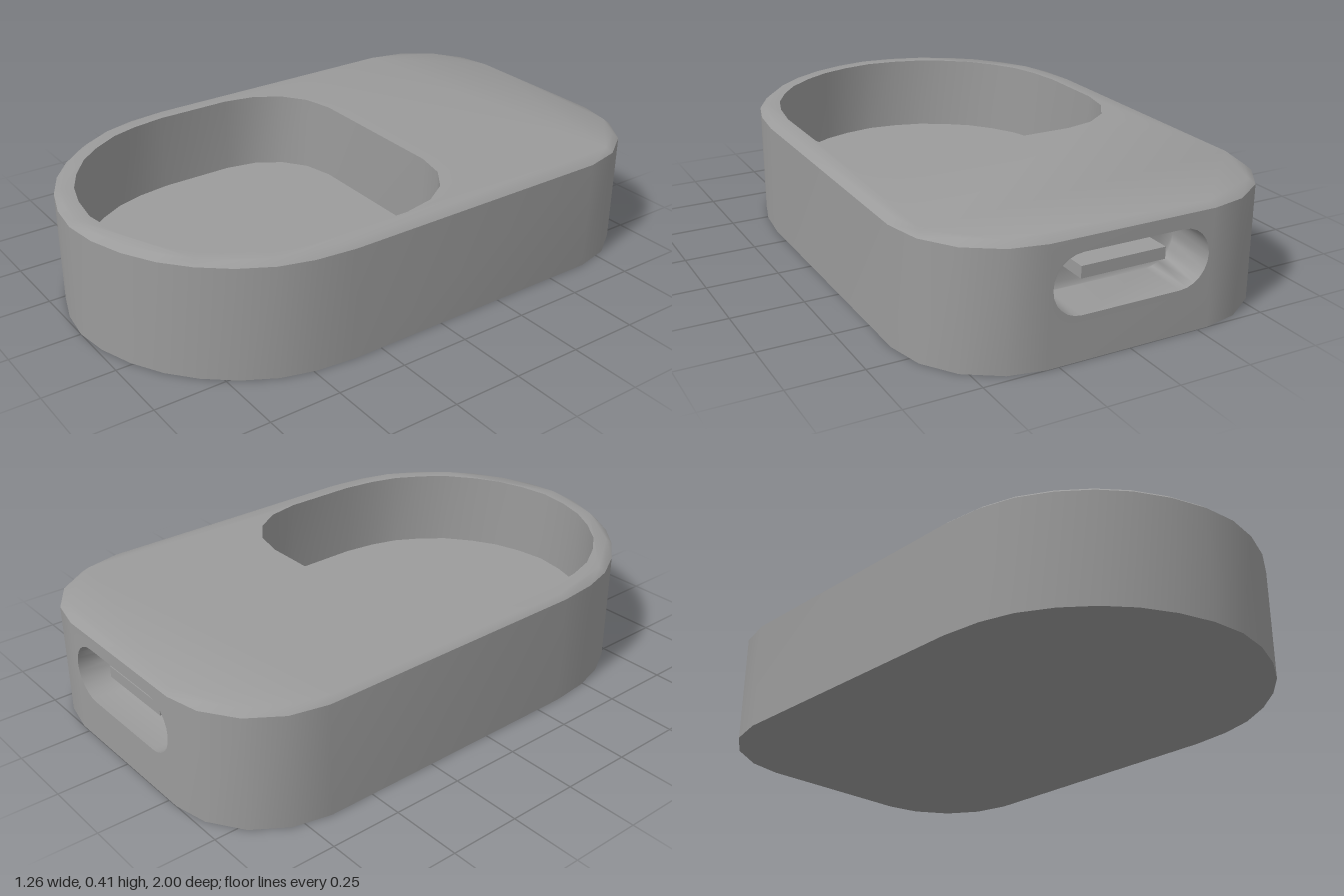
import * as THREE from 'three';
import { mergeGeometries, toCreasedNormals } from 'three/addons/utils/BufferGeometryUtils.js';

const EDGE = 0.397, TOP = 0.415, FLOOR = 0.135;     // chamfer start, top, pocket floor
const PORT_Y = 0.25, PORT_R = 0.1, PORT_HALF = 0.275, PORT_END = -0.82;
const V = (x, y) => new THREE.Vector2(x, y);

// Full plan outline (x, z) from its +x half, listed front to back
function mirrorLoop(half) {
  const right = half.map(([x, z]) => V(x, z));
  const left = half.slice(1).reverse().map(([x, z]) => V(-x, z));
  return [...right, ...left];
}

// Band of quads between two matching loops at two heights
function wall(low, y0, high, y1, skip = -1) {
  const pos = [];
  low.forEach((a, i) => {
    if (i === skip) return;
    const j = (i + 1) % low.length, b = low[j], c = high[j], d = high[i];
    pos.push(a.x, y0, a.y, b.x, y0, b.y, c.x, y1, c.y);
    pos.push(a.x, y0, a.y, c.x, y1, c.y, d.x, y1, d.y);
  });
  const g = new THREE.BufferGeometry();
  g.setAttribute('position', new THREE.Float32BufferAttribute(pos, 3));
  return g;
}

// Flat polygon with optional hole, in the XY plane facing +z
function sheet(points, hole) {
  const shape = new THREE.Shape(points);
  if (hole) shape.holes.push(new THREE.Path(hole));
  const g = new THREE.ShapeGeometry(shape).toNonIndexed();
  g.deleteAttribute('uv');
  g.deleteAttribute('normal');
  return g;
}

const flipZ = (loop) => loop.map((p) => V(p.x, -p.y));
const faceUp = (loop, y, hole) =>
  sheet(flipZ(loop), hole && flipZ(hole)).rotateX(-Math.PI / 2).translate(0, y, 0);

export function createModel() {
  const group = new THREE.Group();
  const material = new THREE.MeshStandardMaterial({ color: 0x9b9b9b });
  const add = (name, parts, crease = 0.78) => {
    const mesh = new THREE.Mesh(toCreasedNormals(mergeGeometries(parts), crease), material);
    mesh.name = name;
    group.add(mesh);
  };

  const backHalf = 0.29;
  const outerHalf = [
    [0, 1], [0.12, 0.985], [0.24, 0.945], [0.35, 0.885], [0.44, 0.81], [0.52, 0.715],
    [0.582, 0.605], [0.615, 0.49], [0.63, 0.35], [0.63, -0.66], [0.6, -0.79],
    [0.525, -0.9], [0.41, -0.975], [backHalf, -1],
  ];
  const pocketHalf = [
    [0, 0.93], [0.11, 0.915], [0.21, 0.885], [0.3, 0.835], [0.39, 0.765], [0.455, 0.685],
    [0.51, 0.59], [0.54, 0.49], [0.557, 0.37], [0.557, 0.1], [0.533, -0.015],
    [0.475, -0.105], [0.39, -0.165], [0.28, -0.19],
  ];
  const outer = mirrorLoop(outerHalf);
  const rim = outer.map((p) => V(p.x * (1 - 0.02 / 0.63), p.y * 0.98));
  const pocket = mirrorLoop(pocketHalf);

  // Rounded slot outline of the port, around its own centre
  const slot = [];
  for (const side of [1, -1]) {
    for (let i = 0; i <= 12; i++) {
      const a = -side * Math.PI / 2 + Math.PI * i / 12;
      slot.push(V(side * (PORT_HALF - PORT_R) + PORT_R * Math.cos(a), PORT_R * Math.sin(a)));
    }
  }
  const slotUp = slot.map((p) => V(p.x, p.y + PORT_Y));

  // Shell: side wall, chamfer, top with pocket opening, base, back panel with port opening
  const panel = [V(-backHalf, 0), V(backHalf, 0), V(backHalf, EDGE), V(-backHalf, EDGE)];
  add('body', [
    wall(outer, 0, outer, EDGE, outerHalf.length - 1),
    wall(outer, EDGE, rim, TOP),
    faceUp(rim, TOP, pocket),
    sheet(outer).rotateX(Math.PI / 2),
    sheet(panel, slotUp).rotateY(Math.PI).translate(0, 0, -1),
  ]);

  // Open pocket in the front half
  const inward = [...pocket].reverse();
  add('pocket', [wall(inward, FLOOR, inward, TOP), faceUp(pocket, FLOOR)]);

  // Port recess in the back, shaded smoothly from wall to end
  const slotWall = slot.map((p) => V(p.x, p.y - PORT_Y));
  add('portRecess', [
    wall(slotWall, -1, slotWall, PORT_END).rotateX(Math.PI / 2),
    sheet(slotUp).rotateY(Math.PI).translate(0, 0, PORT_END),
  ], Math.PI);

  // Contact tongue inside the port
  const tongue = new THREE.Mesh(new THREE.BoxGeometry(0.3, 0.04, 0.13), material);
  tongue.name = 'portTongue';
  tongue.position.set(0, PORT_Y + 0.01, PORT_END - 0.065);
  group.add(tongue);

  return group;
}
